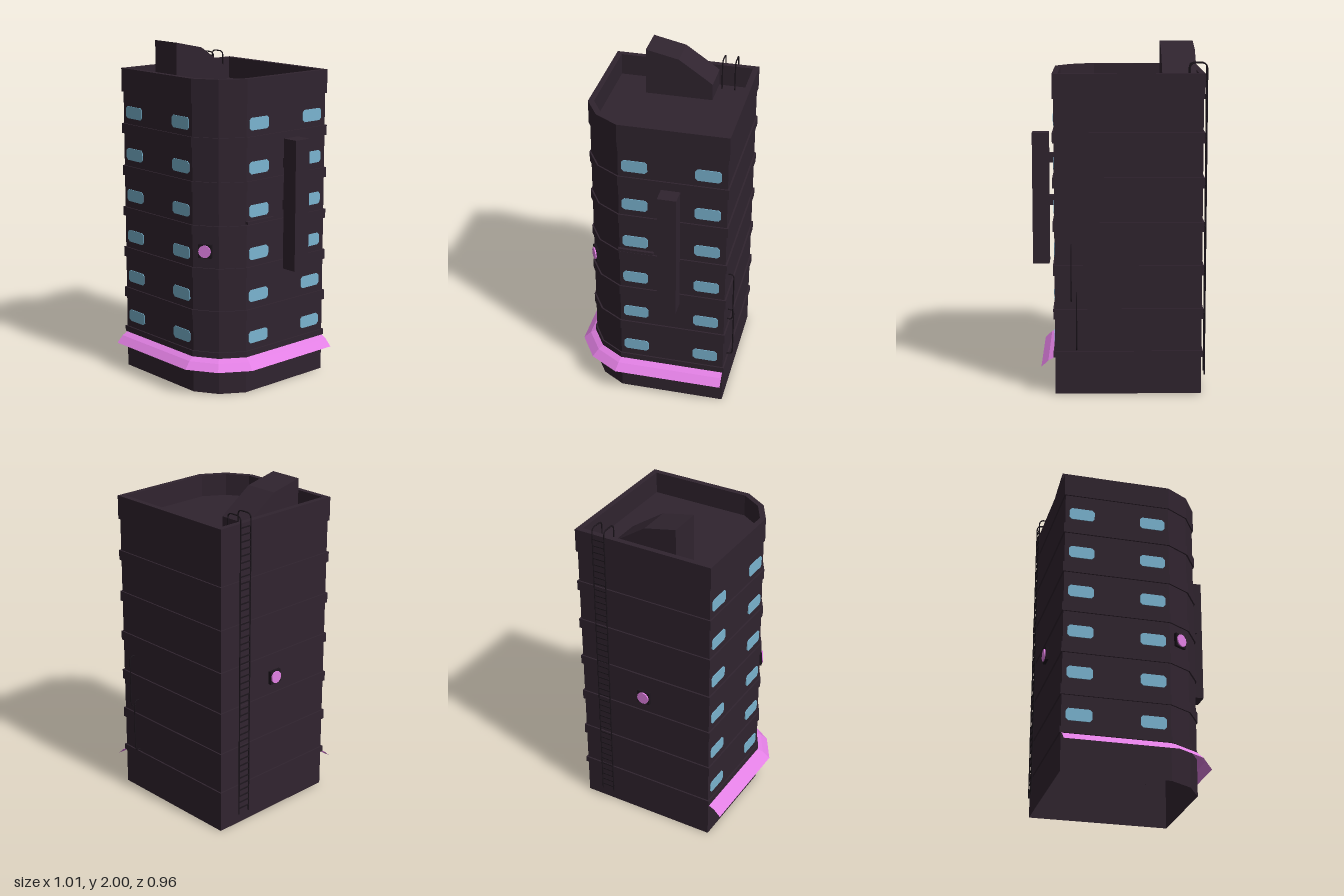
import * as THREE from 'three';

const mat = (name, color, side = THREE.FrontSide) => {
  const m = new THREE.MeshStandardMaterial({ color, side });
  m.name = name;
  return m;
};

// Footprint (x, z), walked so that outward is to the viewer's side; one corner is cut
const FOOT = [[-0.475, 0.4], [0.15, 0.4], [0.283, 0.318], [0.367, 0.182], [0.367, -0.445], [-0.475, -0.445]];

// Shift a path outward with mitred corners
function offsetPath(path, d, closed) {
  const n = path.length;
  const normal = (i) => {
    const a = path[(i + n) % n], b = path[(i + 1) % n];
    return new THREE.Vector2(a[1] - b[1], b[0] - a[0]).normalize();
  };
  return path.map((p, i) => {
    const n1 = normal(!closed && i === 0 ? 0 : i - 1);
    const n2 = normal(!closed && i === n - 1 ? n - 2 : i);
    const m = n1.clone().add(n2).multiplyScalar(d / (1 + n1.dot(n2)));
    return [p[0] + m.x, p[1] + m.y];
  });
}

// Sweep a profile of [outward offset, y] along the path, with flat faces
function sweep(path, profile, closed) {
  const rows = profile.map(([d, y]) => offsetPath(path, d, closed).map(([x, z]) => [x, y, z]));
  const pos = [], n = path.length;
  for (let r = 0; r < rows.length - 1; r++) {
    for (let i = 0; i < (closed ? n : n - 1); i++) {
      const j = (i + 1) % n;
      const a = rows[r][i], b = rows[r][j], c = rows[r + 1][j], d = rows[r + 1][i];
      pos.push(...a, ...b, ...c, ...a, ...c, ...d);
    }
  }
  const g = new THREE.BufferGeometry();
  g.setAttribute('position', new THREE.Float32BufferAttribute(pos, 3));
  g.computeVertexNormals();
  return g;
}

function tube(points, radius) {
  const curve = new THREE.CurvePath();
  const v = points.map((p) => new THREE.Vector3(...p));
  // Straight runs joined by small rounded bends
  let start = v[0];
  for (let i = 1; i < v.length - 1; i++) {
    const inn = v[i].clone().lerp(v[i - 1], Math.min(0.5, 0.03 / v[i].distanceTo(v[i - 1])));
    const out = v[i].clone().lerp(v[i + 1], Math.min(0.5, 0.03 / v[i].distanceTo(v[i + 1])));
    curve.add(new THREE.LineCurve3(start, inn));
    curve.add(new THREE.QuadraticBezierCurve3(inn, v[i], out));
    start = out;
  }
  curve.add(new THREE.LineCurve3(start, v[v.length - 1]));
  return new THREE.TubeGeometry(curve, 160, radius, 6, false);
}

export function createModel() {
  const model = new THREE.Group();
  const wall = mat('wall', 0x30242f, THREE.DoubleSide);
  const dark = mat('dark metal', 0x1c151c);
  const glass = mat('window blue', 0x7ab4d0);
  const pink = mat('awning pink', 0xe280e4, THREE.DoubleSide);

  const add = (name, geo, material, parent = model) => {
    const m = new THREE.Mesh(geo, material);
    m.name = name;
    parent.add(m);
    return m;
  };
  const box = (name, material, x0, x1, y0, y1, z0, z1) => {
    const m = add(name, new THREE.BoxGeometry(x1 - x0, y1 - y0, z1 - z0), material);
    m.position.set((x0 + x1) / 2, (y0 + y1) / 2, (z0 + z1) / 2);
    return m;
  };

  // Open-bottomed walls with a raised parapet
  add('walls', sweep(FOOT, [[0, 0], [0, 1.71], [0.008, 1.71], [0.008, 1.85], [-0.025, 1.85], [-0.025, 1.72]], true), wall);
  const roofShape = new THREE.Shape(offsetPath(FOOT, -0.025, true).map(([x, z]) => new THREE.Vector2(x, -z)));
  const roof = add('roof', new THREE.ShapeGeometry(roofShape), wall);
  roof.rotation.x = -Math.PI / 2;
  roof.position.y = 1.72;

  // Floor bands
  for (const [y0, y1] of [[0.22, 0.255], [0.445, 0.505], [0.7, 0.76], [0.955, 1.01], [1.205, 1.265], [1.46, 1.52]]) {
    add('floorBand', sweep(FOOT, [[0, y0], [0.009, y0], [0.009, y1], [0, y1]], true), wall);
  }

  // Flared awning along the front, cut corner and right wall
  add('awning', sweep(FOOT.slice(0, 5), [[0.081, 0.16], [0.04, 0.2], [0, 0.22]], false), pink);

  // Windows with clipped corners
  const w = 0.075, h = 0.036, c = 0.014;
  const pane = new THREE.Shape([[-w + c, -h], [w - c, -h], [w, -h + c], [w, h - c], [w - c, h], [-w + c, h], [-w, h - c], [-w, -h + c]]
    .map((p) => new THREE.Vector2(...p)));
  const paneGeo = new THREE.ExtrudeGeometry(pane, { depth: 0.009, bevelEnabled: false }).translate(0, 0, -0.005);
  for (let f = 0; f < 6; f++) {
    const y = 0.331 + f * 0.252;
    for (const x of [-0.375, 0.05]) add('frontWindow', paneGeo, glass).position.set(x, y, 0.4);
    for (const z of [0.087, -0.335]) {
      const m = add('sideWindow', paneGeo, glass);
      m.position.set(0.367, y, z);
      m.rotation.y = Math.PI / 2;
    }
  }

  // Hanging sign on two brackets
  box('sign', wall, 0.405, 0.502, 0.715, 1.487, -0.185, -0.075);
  for (const y of [1.06, 1.31]) box('signBracket', wall, 0.36, 0.41, y, y + 0.056, -0.157, -0.103);
  box('sideLedge', wall, 0.36, 0.384, 1.017, 1.033, -0.023, 0.187);

  // Sloping roof hut
  const hut = new THREE.Shape([[-0.175, 1.72], [0.222, 1.72], [0.222, 1.82], [0.18, 1.85], [0.02, 1.958], [-0.175, 2]]
    .map((p) => new THREE.Vector2(...p)));
  const hutMesh = add('roofHut', new THREE.ExtrudeGeometry(hut, { depth: 0.198, bevelEnabled: false }), wall);
  hutMesh.rotation.y = Math.PI / 2;
  hutMesh.position.x = -0.45;

  // Round lamps on small dark mounts
  for (const [x, y, z, angle] of [[0.216, 0.862, 0.359, Math.atan2(0.082, 0.133)], [-0.475, 0.862, -0.025, -Math.PI / 2]]) {
    const lamp = new THREE.Group();
    lamp.name = 'wallLamp';
    lamp.position.set(x, y, z);
    lamp.rotation.y = angle;
    add('lampMount', new THREE.BoxGeometry(0.08, 0.08, 0.036), dark, lamp);
    const disc = add('lampDisc', new THREE.CylinderGeometry(0.037, 0.037, 0.008, 12), pink, lamp);
    disc.rotation.x = Math.PI / 2;
    disc.position.z = 0.022;
    model.add(lamp);
  }

  // Ladder with rails hooked over the parapet
  for (const z of [-0.325, -0.248]) {
    add('ladderRail', tube([[-0.503, 0.075, z], [-0.503, 1.9, z], [-0.404, 1.9, z], [-0.404, 1.72, z]], 0.004), dark);
  }
  for (let y = 0.11; y < 1.86; y += 0.04) box('ladderRung', dark, -0.506, -0.5, y, y + 0.006, -0.325, -0.248);

  // Back wall pipes
  for (const [x, y0, y1] of [[0.272, 0.555, 0.88], [0.242, 0.268, 0.6]]) {
    add('backPipe', tube([[x, y0, -0.44], [x, y0, -0.479], [x, y1, -0.479], [x, y1, -0.44]], 0.004), dark);
  }
  return model;
}
